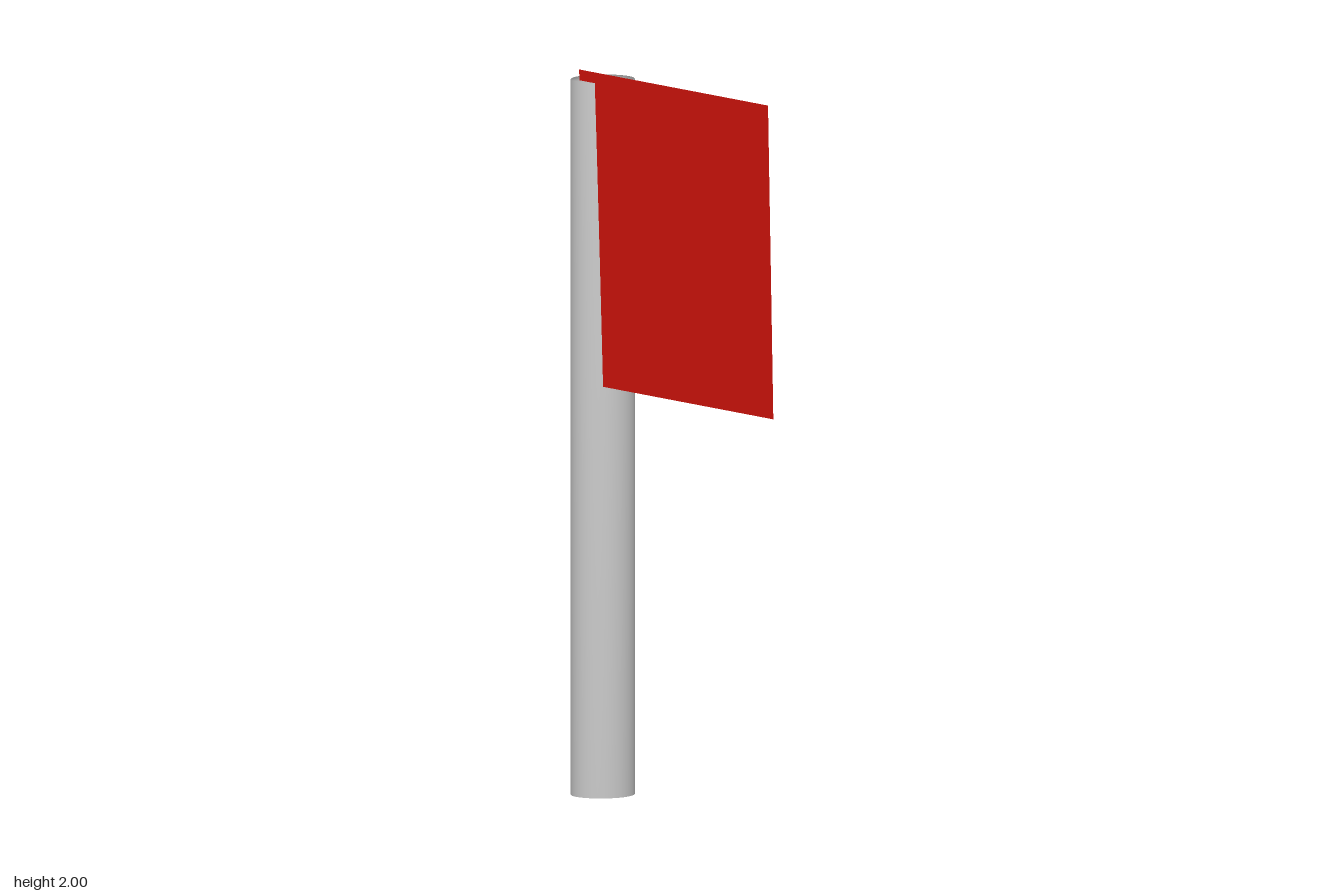
import * as THREE from 'three';
import { mergeVertices } from 'three/addons/utils/BufferGeometryUtils.js';

export function createModel() {
  const model = new THREE.Group();

  // Pole: capped cylinder, slightly oval, with normals shared across the rims
  const poleHeight = 1.97;
  let poleGeometry = new THREE.CylinderGeometry(1, 1, poleHeight, 64);
  poleGeometry.deleteAttribute('normal');
  poleGeometry.deleteAttribute('uv');
  poleGeometry = mergeVertices(poleGeometry);
  poleGeometry.scale(0.0835, 1, 0.0895);
  poleGeometry.computeVertexNormals();
  const pole = new THREE.Mesh(poleGeometry, new THREE.MeshStandardMaterial({ color: 0xcccccc }));
  pole.name = 'pole';
  pole.position.set(-0.384, poleHeight / 2, 0);
  model.add(pole);

  // Flag: thin square sheet, its top edge leaning slightly forward
  const flag = new THREE.Mesh(
    new THREE.PlaneGeometry(0.866, 0.866),
    new THREE.MeshStandardMaterial({ color: 0xd6140c, side: THREE.DoubleSide })
  );
  flag.name = 'flag';
  flag.position.set(0.033, 1.567, 0.059);
  flag.rotation.x = Math.atan2(0.018, 0.866);
  model.add(flag);

  return model;
}
